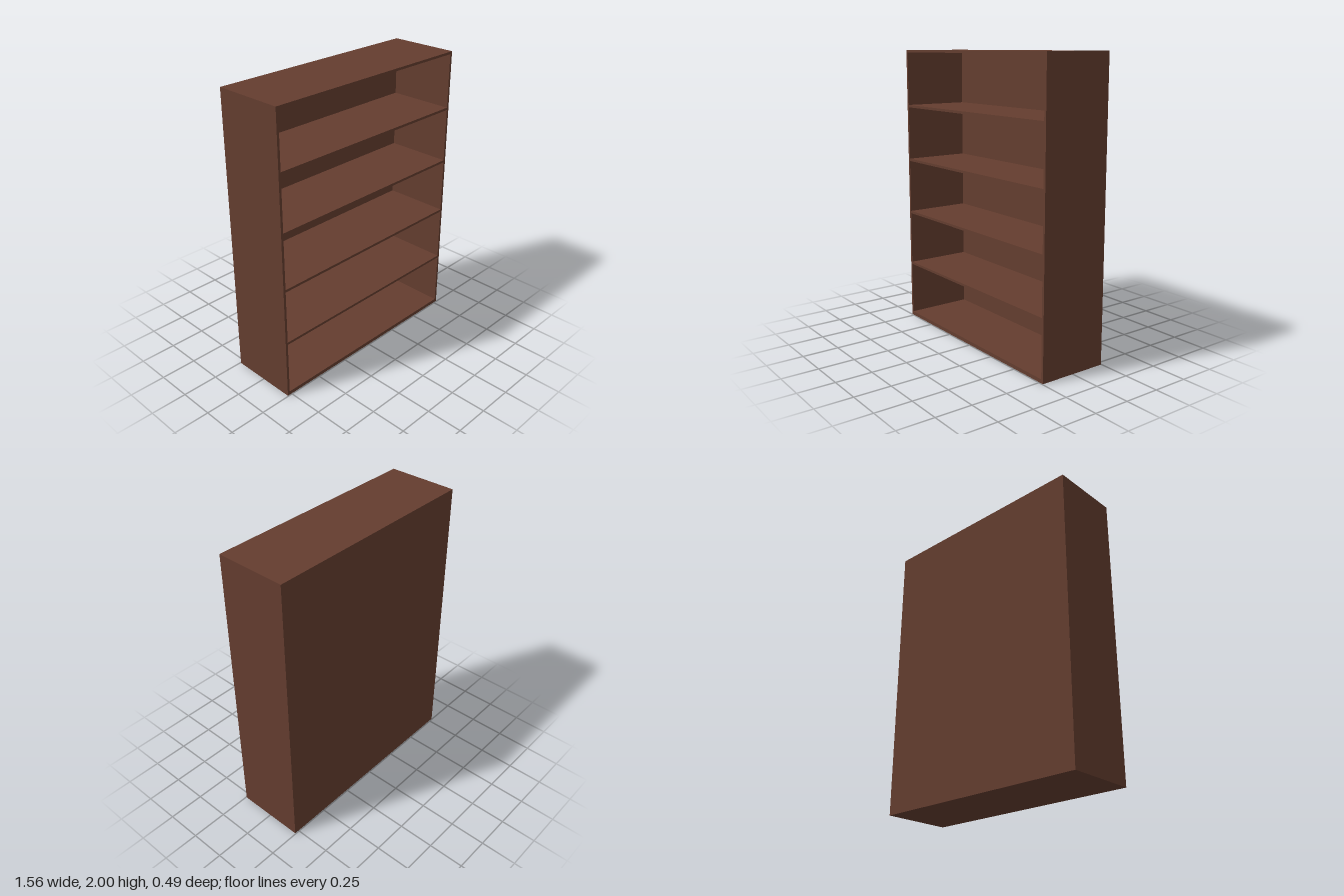
import * as THREE from 'three';

const W = 1.564, H = 2, D = 0.49; // overall size
const T = 0.017;                  // board thickness
const BACK = 0.02;                // back panel thickness
const PITCH = 0.395;              // shelf spacing

export function createModel() {
  const group = new THREE.Group();
  const wood = new THREE.MeshStandardMaterial({ color: 0x643d2f });

  const board = (name, w, h, d, x, y, z) => {
    const mesh = new THREE.Mesh(new THREE.BoxGeometry(w, h, d), wood);
    mesh.name = name;
    mesh.position.set(x, y, z);
    group.add(mesh);
  };

  // Outer case: two sides, top and bottom, with a back panel between them
  const innerW = W - 2 * T;
  const baseH = 0.026;
  board('leftSide', T, H, D, (W - T) / 2, H / 2, 0);
  board('rightSide', T, H, D, -(W - T) / 2, H / 2, 0);
  board('topBoard', innerW, T, D, 0, H - T / 2, 0);
  board('bottomBoard', innerW, baseH, D, 0, baseH / 2, 0);
  board('backPanel', innerW, H - T - baseH, BACK, 0, (H - T + baseH) / 2, (BACK - D) / 2);

  // Four evenly spaced shelves in front of the back panel
  for (let i = 1; i <= 4; i++) {
    board(`shelf${i}`, innerW, T, D - BACK, 0, baseH + i * PITCH - T / 2, BACK / 2);
  }
  return group;
}
